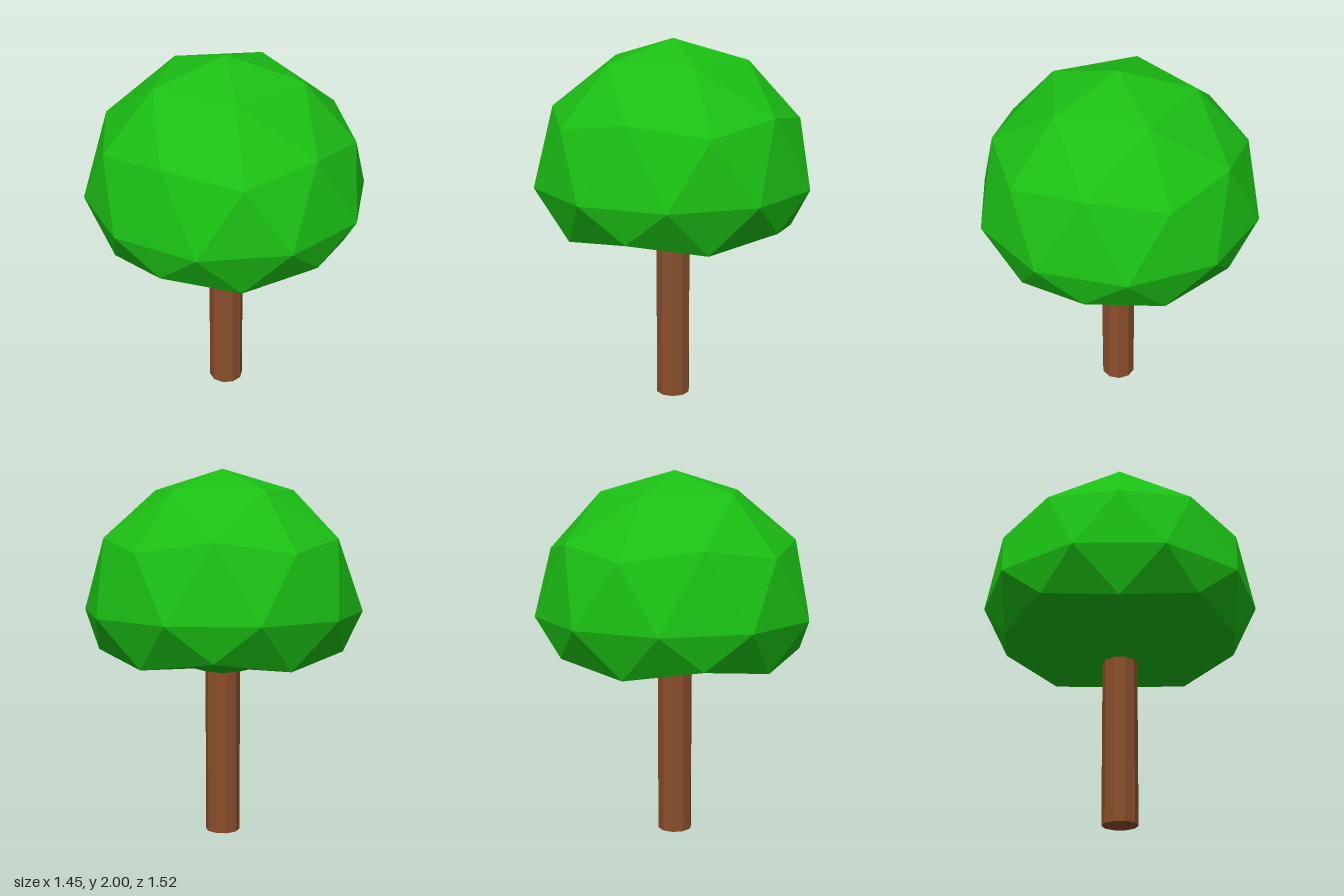
import * as THREE from 'three';

const RADIUS = 0.76;
const CENTRE_Y = 1.24;

// Faceted ball with a vertex at each pole and its underside pushed up
function crownGeometry() {
  const geo = new THREE.IcosahedronGeometry(RADIUS, 1);
  const golden = (1 + Math.sqrt(5)) / 2;
  geo.rotateX(-Math.atan(golden)); // bring a corner to the top
  geo.rotateY(Math.PI / 2); // upper ring of corners starts at +x
  const pos = geo.attributes.position;
  for (let i = 0; i < pos.count; i++) {
    const y = pos.getY(i);
    if (y < -0.5) pos.setY(i, y + 0.396); // bottom cap
    else if (y < -0.2) pos.setY(i, y + 0.15); // lower rim
  }
  geo.computeVertexNormals();
  return geo;
}

export function createModel() {
  const tree = new THREE.Group();
  tree.name = 'tree';

  // Leafy crown
  const crown = new THREE.Mesh(
    crownGeometry(),
    new THREE.MeshStandardMaterial({ color: 0x1bbf14, flatShading: true })
  );
  crown.name = 'crown';
  crown.position.y = CENTRE_Y;

  // Ten-sided trunk, its top tucked into the crown
  const height = 0.95;
  const trunk = new THREE.Mesh(
    new THREE.CylinderGeometry(0.095, 0.095, height, 10),
    new THREE.MeshStandardMaterial({ color: 0x8a4f2b, flatShading: true })
  );
  trunk.name = 'trunk';
  trunk.position.y = height / 2;

  tree.add(crown, trunk);
  return tree;
}
